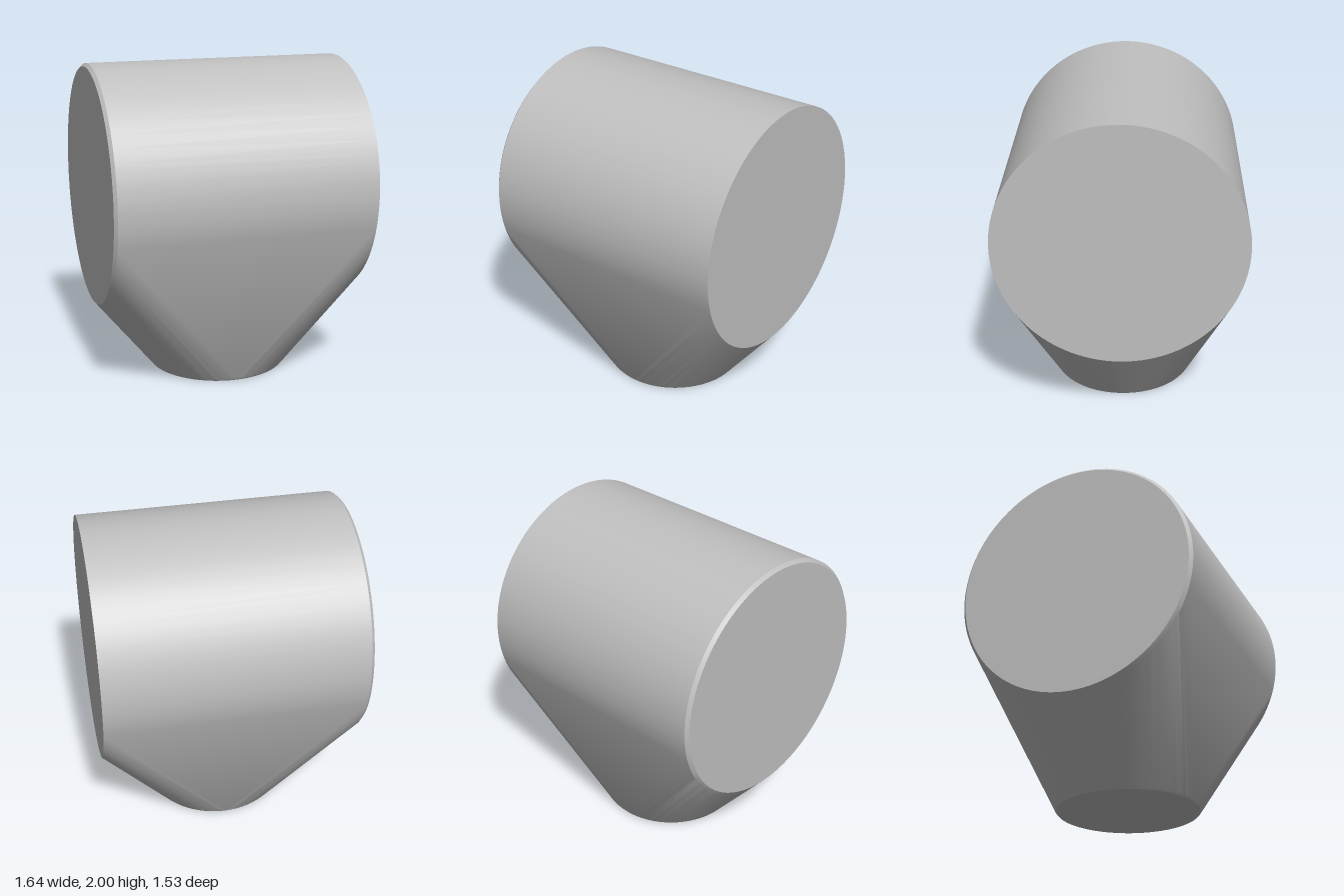
import * as THREE from 'three';
import { ConvexGeometry } from 'three/addons/geometries/ConvexGeometry.js';
import { toCreasedNormals } from 'three/addons/utils/BufferGeometryUtils.js';

const SEGMENTS = 112;

// Ring of points around a centre, lying in the plane spanned by axes u and v.
function ring(center, radius, u, v) {
  return Array.from({ length: SEGMENTS }, (_, i) => {
    const a = (i / SEGMENTS) * Math.PI * 2;
    return center.clone().addScaledVector(u, radius * Math.cos(a)).addScaledVector(v, radius * Math.sin(a));
  });
}

export function createModel() {
  const group = new THREE.Group();
  group.name = 'taperedDrum';
  const grey = new THREE.MeshStandardMaterial({ color: 0xc0c0c0 });
  grey.name = 'plain grey';

  const X = new THREE.Vector3(1, 0, 0);
  const Y = new THREE.Vector3(0, 1, 0);
  const Z = new THREE.Vector3(0, 0, 1);
  const axisY = 1.2325;
  const drum = (x, r) => ring(new THREE.Vector3(x, axisY, 0), r, Y, Z);
  const foot = (y, r) => ring(new THREE.Vector3(0.015, y, 0), r, X, Z);

  // Horizontal drum, chamfered at one end, blended down to a round foot.
  const points = [
    ...drum(0.82, 0.7675),
    ...drum(-0.803, 0.7675),
    ...drum(-0.823, 0.7475),
    ...foot(0.015, 0.457),
    ...foot(0, 0.445),
  ];
  const body = new THREE.Mesh(toCreasedNormals(new ConvexGeometry(points), 0.5), grey);
  body.name = 'body';
  group.add(body);
  return group;
}
